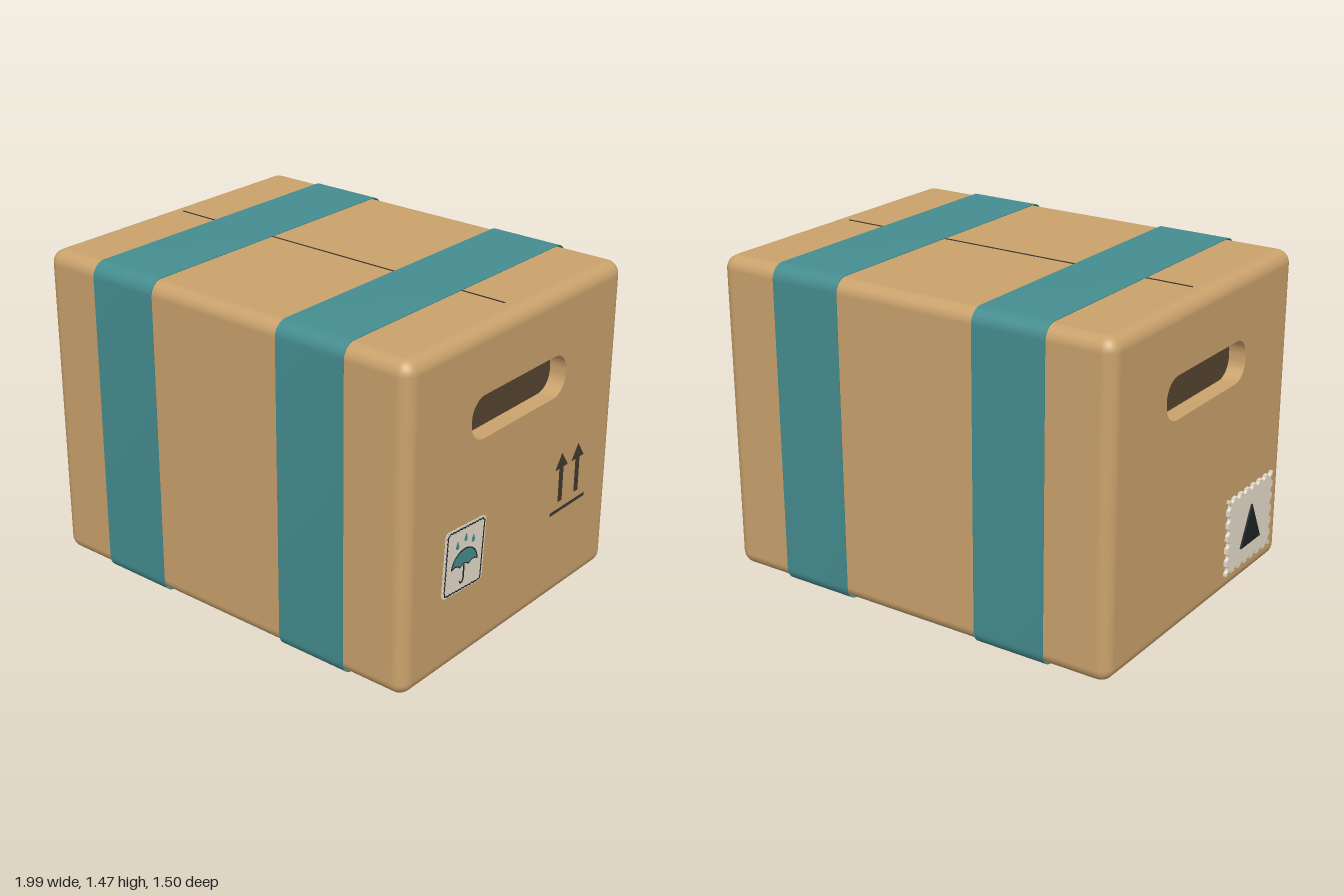
import * as THREE from 'three';
import { toCreasedNormals } from 'three/addons/utils/BufferGeometryUtils.js';

const mat = (color) => new THREE.MeshStandardMaterial({ color });
const card = mat(0xcaa26c), teal = mat(0x458d90), paper = mat(0xe6dccb);
const ink = mat(0x40382f), black = mat(0x1c2222), shade = mat(0x55442f);

// half sizes, corner radius and centre of the carton
const HX = 0.98, HY = 0.727, HZ = 0.743, R = 0.06, CY = 0.735, CX = 0.004;

function add(parent, name, geometry, material, x = 0, y = 0, z = 0) {
  const mesh = new THREE.Mesh(geometry, material);
  mesh.name = name;
  mesh.position.set(x, y, z);
  parent.add(mesh);
  return mesh;
}

// rounded rectangle, half width a, half height b
function roundRect(a, b, r, T = THREE.Shape) {
  const s = new T();
  s.moveTo(a, r - b);
  s.absarc(a - r, b - r, r, 0, Math.PI / 2);
  s.absarc(r - a, b - r, r, Math.PI / 2, Math.PI);
  s.absarc(r - a, r - b, r, Math.PI, Math.PI * 1.5);
  s.absarc(a - r, r - b, r, Math.PI * 1.5, Math.PI * 2);
  return s;
}

const polygon = (pts) => new THREE.Shape(pts.map((p) => new THREE.Vector2(...p)));
const extrude = (shape, depth, curveSegments = 10) =>
  new THREE.ExtrudeGeometry(shape, { depth, bevelEnabled: false, curveSegments });

// thin line along flat points
function stroke(pts, radius, closed, segments) {
  const curve = new THREE.CatmullRomCurve3(pts.map(([x, y]) => new THREE.Vector3(x, y, 0)), closed);
  return new THREE.TubeGeometry(curve, segments, radius, 6, closed).scale(1, 1, 0.6);
}

// rounded carton skin, lofted along x and open at both ends
function cartonSkin() {
  const n = 8, pos = [], nor = [], idx = [], ring = 4 * (n + 1), rings = 2 * (n + 1);
  for (let i = 0; i < rings; i++) {
    const end = i <= n ? -1 : 1;
    const a = (end < 0 ? i / n - 1 : (i - n - 1) / n) * Math.PI / 2;
    for (let c = 0; c < 4; c++) for (let j = 0; j <= n; j++) {
      const t = (c + j / n) * Math.PI / 2;
      const sy = c < 2 ? 1 : -1, sz = c === 0 || c === 3 ? 1 : -1;
      const d = [Math.sin(a), Math.cos(a) * Math.sin(t), Math.cos(a) * Math.cos(t)];
      nor.push(...d);
      pos.push(end * (HX - R) + R * d[0], sy * (HY - R) + R * d[1], sz * (HZ - R) + R * d[2]);
    }
  }
  for (let i = 0; i < rings - 1; i++) for (let k = 0; k < ring; k++) {
    const p = i * ring + k, q = i * ring + (k + 1) % ring;
    idx.push(p, p + ring, q, q, p + ring, q + ring);
  }
  const g = new THREE.BufferGeometry();
  g.setAttribute('position', new THREE.Float32BufferAttribute(pos, 3));
  g.setAttribute('normal', new THREE.Float32BufferAttribute(nor, 3));
  g.setIndex(idx);
  return g;
}

// end wall with a recessed hand slot; local +z points out of the carton
function endWall(side) {
  const g = new THREE.Group();
  g.name = side > 0 ? 'leftEnd' : 'rightEnd';
  g.rotation.y = side * Math.PI / 2;
  g.position.set(CX + side * HX, CY, 0);
  const wall = polygon([[R - HZ, R - HY], [HZ - R, R - HY], [HZ - R, HY - R], [R - HZ, HY - R]]);
  const slot = roundRect(0.331, 0.095, 0.085, THREE.Path);
  wall.holes.push(new THREE.Path(slot.getPoints(10).map((p) => p.add(new THREE.Vector2(0, 0.348)))));
  add(g, 'endPanel', toCreasedNormals(extrude(wall, 0.08), 0.6), card, 0, 0, -0.08);
  add(g, 'handSlotBack', new THREE.ShapeGeometry(roundRect(0.334, 0.098, 0.087)), shade, 0, 0.348, -0.078);
  return g;
}

// sticker with umbrella, drops and a wavy frame
function umbrellaSticker() {
  const g = new THREE.Group();
  g.name = 'umbrellaSticker';
  add(g, 'stickerPaper', extrude(roundRect(0.137, 0.148, 0.022), 0.003), paper);

  const frame = roundRect(0.124, 0.138, 0.018).getSpacedPoints(144).slice(0, -1);
  const wavy = frame.map((p, i) => {
    const k = 1 + 0.016 * Math.sin(i * Math.PI / 2);
    return [p.x * k, p.y * k];
  });
  add(g, 'stickerFrame', stroke(wavy, 0.003, true, 432), black, 0, 0, 0.005);

  const canopy = new THREE.Shape();
  canopy.moveTo(0.087, -0.03);
  canopy.bezierCurveTo(0.075, 0.065, -0.075, 0.065, -0.087, -0.03);
  for (let i = 0; i < 3; i++) {
    const x = -0.087 + i * 0.058;
    canopy.quadraticCurveTo(x + 0.029, -0.012, x + 0.058, i === 2 ? -0.03 : -0.036);
  }
  add(g, 'umbrellaCanopy', extrude(canopy, 0.003), teal, 0, 0, 0.003);
  const rim = canopy.getPoints(10).map((p) => [p.x, p.y]).slice(0, -1);
  add(g, 'umbrellaOutline', stroke(rim, 0.003, true, 120), black, 0, 0, 0.006);
  const hook = [[0, -0.03], [0, -0.065], [0, -0.09], [-0.006, -0.105], [-0.018, -0.107], [-0.025, -0.096]];
  add(g, 'umbrellaHandle', stroke(hook, 0.004, false, 30), black, 0, 0, 0.005);

  const drop = new THREE.Shape();
  drop.moveTo(0, 0.02);
  drop.bezierCurveTo(0.004, 0.008, 0.01, 0.002, 0.009, -0.007);
  drop.bezierCurveTo(0.006, -0.018, -0.006, -0.018, -0.009, -0.007);
  drop.bezierCurveTo(-0.01, 0.002, -0.004, 0.008, 0, 0.02);
  for (const [x, y] of [[-0.054, 0.068], [0, 0.089], [0.053, 0.068]]) {
    add(g, 'rainDrop', extrude(drop, 0.003), teal, x, y, 0.003);
  }
  return g;
}

// stamp with a perforated edge and a black triangle
function stamp() {
  const g = new THREE.Group();
  g.name = 'stamp';
  const a = 0.205, b = 0.18, r = 0.017, s = new THREE.Shape();
  const corners = [[-a, -b], [a, -b], [a, b], [-a, b]];
  s.moveTo(-a, -b);
  corners.forEach(([x, y], k) => {
    const [ex, ey] = corners[(k + 1) % 4], th = k * Math.PI / 2;
    const count = k % 2 ? 6 : 7;
    for (let i = 0; i < count; i++) {
      const f = (i + 0.5) / count;
      const cx = x + (ex - x) * f, cy = y + (ey - y) * f;
      s.lineTo(cx - r * Math.cos(th), cy - r * Math.sin(th));
      s.absarc(cx, cy, r, th + Math.PI, th, true);
    }
    s.lineTo(ex, ey);
  });
  add(g, 'stampPaper', extrude(s, 0.016, 6), paper);
  add(g, 'stampTriangle', extrude(polygon([[-0.09, -0.09], [0.09, -0.09], [0, 0.095]]), 0.008), black, 0, 0, 0.016);
  return g;
}

export function createModel() {
  const model = new THREE.Group();
  model.name = 'cardboardBox';

  add(model, 'carton', cartonSkin(), card, CX, CY, 0);
  const left = endWall(1), right = endWall(-1);
  model.add(left, right);

  // wide, thin tape bands wrapped around the carton
  for (const x of [-0.68, 0.34]) {
    const loop = roundRect(0.752, CY, 0.066);
    loop.holes.push(roundRect(0.749, CY - 0.003, 0.063, THREE.Path));
    const band = add(model, 'tapeBand', toCreasedNormals(extrude(loop, 0.343), 0.6), teal, x, CY, 0);
    band.rotation.y = Math.PI / 2;
  }

  // seam between the top flaps
  add(model, 'flapSeam', new THREE.BoxGeometry(1.78, 0.008, 0.003), ink, 0, CY + HY, 0);

  // left end: sticker and upright arrows
  const sticker = umbrellaSticker();
  sticker.position.set(-0.355, 0.5 - CY, 0);
  sticker.rotation.z = -0.07;
  left.add(sticker);
  const arrow = polygon([[-0.015, -0.115], [0.015, -0.115], [0.015, 0.046], [0.047, 0.046],
    [0, 0.115], [-0.047, 0.046], [-0.015, 0.046]]);
  for (const x of [0.343, 0.468]) add(left, 'upArrow', extrude(arrow, 0.0015), ink, x, 0.587 - CY, 0);
  add(left, 'arrowBaseLine', new THREE.BoxGeometry(0.266, 0.015, 0.003), ink, 0.406, 0.43 - CY, 0);

  // right end: stamp
  const postage = stamp();
  postage.position.set(0.428, 0.28 - CY, 0);
  right.add(postage);
  return model;
}
